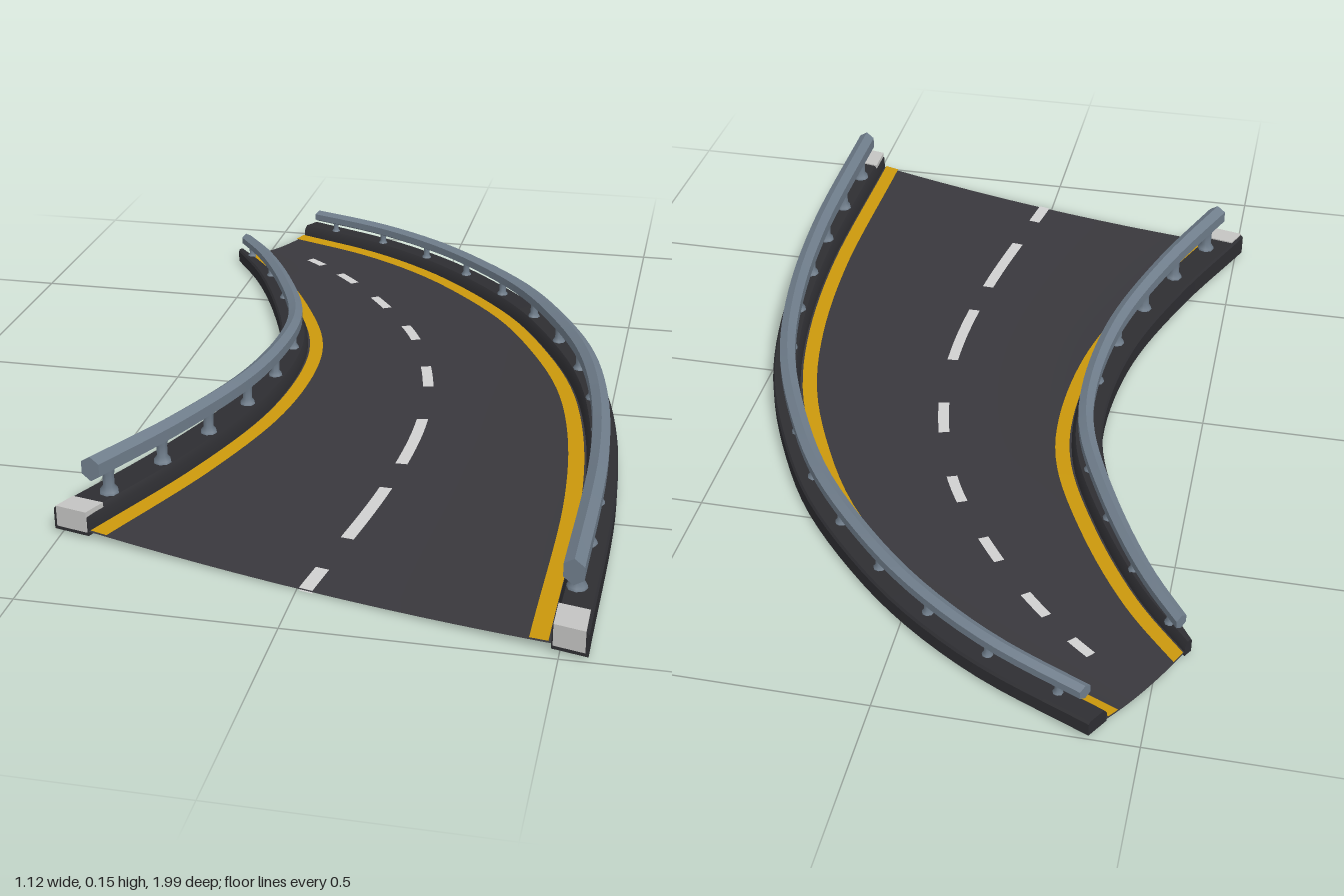
import * as THREE from 'three';
import { toCreasedNormals } from 'three/addons/utils/BufferGeometryUtils.js';

const material = (name, color, side = THREE.FrontSide) => {
  const m = new THREE.MeshStandardMaterial({ color, side });
  m.name = name;
  return m;
};
const curve = pts => new THREE.CatmullRomCurve3(pts.map(([x, z]) => new THREE.Vector3(x, 0, z)));
const lerp = THREE.MathUtils.lerp;

// Edges of the bend as [x, z], from the wide front end to the narrow back end
const leftEdge = curve([[-0.515, 0.745], [-0.395, 0.455], [-0.315, 0.19], [-0.29, -0.05],
  [-0.305, -0.2], [-0.375, -0.4], [-0.47, -0.6], [-0.56, -0.74]]);
const rightEdge = curve([[0.552, 0.995], [0.552, 0.455], [0.52, 0.135], [0.465, -0.1],
  [0.375, -0.31], [0.27, -0.49], [0.11, -0.675], [-0.02, -0.79], [-0.18, -0.895], [-0.405, -0.998]]);

// Point at fraction u across the road
const across = (t, u, y) => {
  const p = leftEdge.getPointAt(t).lerp(rightEdge.getPointAt(t), u);
  p.y = y;
  return p;
};
const width = t => leftEdge.getPointAt(t).distanceTo(rightEdge.getPointAt(t));
// Point at distance d inward from one edge
const inward = (side, t, d, y) => {
  const u = d / width(t);
  return across(t, side.right ? 1 - u : u, y);
};
// The surface dips slightly along the middle
const roadY = u => 0.004 + 0.019 * (2 * u - 1) ** 2;

// Skin over a row of cross-sections, with end caps when the sections are closed
function loft(rings, closed, flip, crease = 0.6) {
  const n = rings[0].length;
  const pos = rings.flat().flatMap(p => [p.x, p.y, p.z]);
  const idx = [];
  const tri = (a, b, c) => (flip ? idx.push(a, c, b) : idx.push(a, b, c));
  for (let i = 0; i < rings.length - 1; i++) {
    for (let j = 0; j < (closed ? n : n - 1); j++) {
      const a = i * n + j, b = i * n + (j + 1) % n;
      tri(a, a + n, b);
      tri(b, a + n, b + n);
    }
  }
  if (closed) {
    const e = (rings.length - 1) * n;
    for (let j = 1; j < n - 1; j++) {
      tri(0, j, j + 1);
      tri(e, e + j + 1, e + j);
    }
  }
  const g = new THREE.BufferGeometry();
  g.setAttribute('position', new THREE.Float32BufferAttribute(pos, 3));
  g.setIndex(idx);
  return toCreasedNormals(g, crease);
}

const steps = (t0, t1, n, fn) => Array.from({ length: n + 1 }, (_, i) => fn(lerp(t0, t1, i / n)));

export function createModel() {
  const model = new THREE.Group();
  const asphalt = material('asphalt', 0x39383d, THREE.DoubleSide);
  const darkCurb = material('darkCurb', 0x2e2e32);
  const steel = material('steel', 0x6f7d8b);
  const yellow = material('yellowPaint', 0xcb980c, THREE.DoubleSide);
  const white = material('whitePaint', 0xd0d0d0, THREE.DoubleSide);
  const concrete = material('concrete', 0xc4c4c2);
  const add = (name, geometry, mat, parent = model) => {
    const mesh = new THREE.Mesh(geometry, mat);
    mesh.name = name;
    parent.add(mesh);
    return mesh;
  };

  // Road surface
  add('roadSurface', loft(steps(0, 1, 48, t =>
    Array.from({ length: 15 }, (_, j) => {
      const u = lerp(0.015, 0.985, j / 14);
      return across(t, u, roadY(u));
    })), false, true), asphalt);

  // Centre dashes, placed by their z range and visible from both faces
  const tAtZ = z => {
    let lo = 0, hi = 1;
    for (let i = 0; i < 24; i++) {
      const mid = (lo + hi) / 2;
      if (across(mid, 0.5, 0).z > z) lo = mid; else hi = mid;
    }
    return lo;
  };
  const dashes = [[0.87, 0.79], [0.67, 0.45], [0.34, 0.12], [-0.05, -0.16], [-0.31, -0.39],
    [-0.495, -0.56], [-0.645, -0.7], [-0.755, -0.79]];
  for (const [z0, z1] of dashes) {
    for (const lift of [0.003, -0.003]) {
      add('centreDash', loft(steps(tAtZ(z0), tAtZ(z1), 6, t => {
        const h = lerp(0.014, 0.01, t) / width(t);
        return [across(t, 0.5 - h, roadY(0.5) + lift), across(t, 0.5 + h, roadY(0.5) + lift)];
      }), false, true), white);
    }
  }

  // Both sides: distances of the painted line and guard rail from the edge
  const sides = [
    { name: 'left', right: false, line: t => 0.1 - 0.06 * t ** 3, rail: t => 0.05 - 0.033 * t ** 2, posts: 10 },
    { name: 'right', right: true, line: t => lerp(0.092, 0.07, t), rail: t => lerp(0.04, 0.033, t), posts: 14 },
  ];
  const curbTop = t => lerp(0.057, 0.04, t);
  const railY = t => lerp(0.129, 0.072, t);

  for (const side of sides) {
    const group = new THREE.Group();
    group.name = side.name + 'Side';
    model.add(group);
    const lineHalf = t => lerp(0.018, 0.014, t);
    const curbWidth = t => side.line(t) - lineHalf(t) - 0.005;
    const section = (t, pts) => pts.map(([d, y]) => inward(side, t, d, y));

    // Curb with a bevelled inner top edge
    add('curb', loft(steps(0, 1, 48, t => {
      const w = curbWidth(t), y = curbTop(t), b = 0.008;
      return section(t, [[0, b], [w, b], [w, y - 0.012], [w - 0.008, y], [0.004, y], [0, y - 0.005]]);
    }), true, side.right), darkCurb, group);

    // Pale block at the front end of the curb
    add('curbEnd', loft(steps(-0.0, 0.03, 2, t => {
      const w = curbWidth(t) - 0.003, y = curbTop(t) + 0.003;
      return section(t, [[0.006, 0.016], [w, 0.016], [w, y], [0.006, y]])
        .map(p => (t === 0 ? p.add(new THREE.Vector3(0, 0, 0.002)) : p));
    }), true, side.right), concrete, group);

    // Yellow edge line
    add('edgeLine', loft(steps(0, 1, 48, t => {
      const d = side.line(t), h = lineHalf(t);
      return section(t, [d - h, d + h].map(k => [k, roadY(k / width(t)) + 0.004]));
    }), false, !side.right), yellow, group);

    // Six-sided guard rail, tapering to the back
    add('guardRail', loft(steps(0.03, 0.985, 48, t => {
      const w = lerp(0.02, 0.014, t), h = lerp(0.027, 0.015, t);
      return section(t, Array.from({ length: 6 }, (_, j) => {
        const a = Math.PI / 6 + j * Math.PI / 3;
        return [side.rail(t) + w * Math.cos(a) / 0.87, railY(t) + h * Math.sin(a)];
      }));
    }), true, side.right), steel, group);

    // Posts with flared feet
    for (let i = 0; i < side.posts; i++) {
      const t = lerp(0.06, 0.96, i / (side.posts - 1));
      const y0 = curbTop(t) - 0.003, y1 = railY(t), r = lerp(0.014, 0.007, t);
      const profile = [[1.5, 0], [1.4, 0.12], [0.9, 0.25], [0.9, 0.6], [1.3, 1]];
      const post = add('railPost', new THREE.LatheGeometry(
        profile.map(([k, f]) => new THREE.Vector2(r * k, (y1 - y0) * f)), 8), steel, group);
      post.position.copy(inward(side, t, side.rail(t), y0));
    }
  }
  return model;
}
